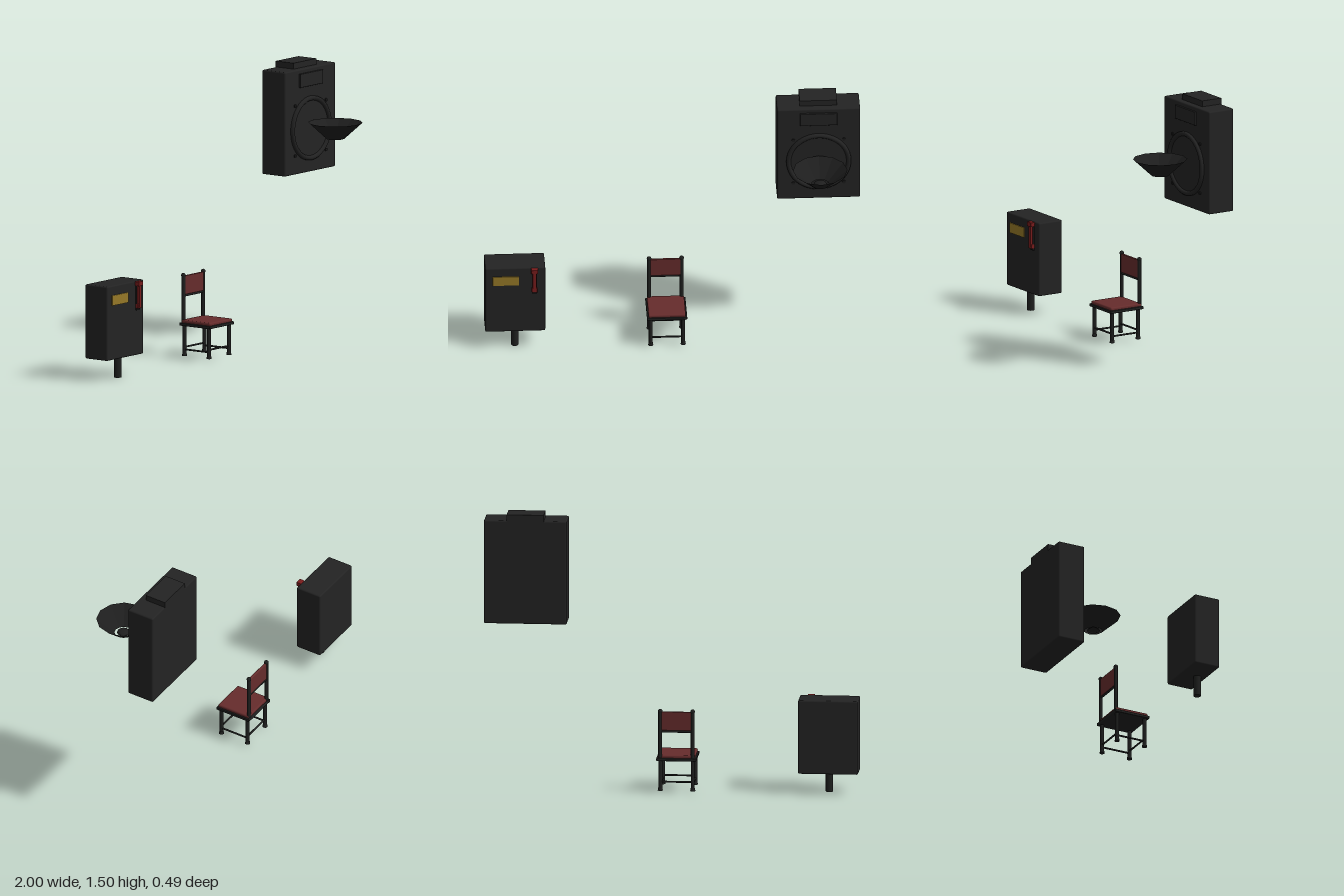
import * as THREE from 'three';
import { RoundedBoxGeometry } from 'three/addons/geometries/RoundedBoxGeometry.js';

const mat = (name, color, extra = {}) => new THREE.MeshStandardMaterial({ name, color, ...extra });

export function createModel() {
  const black = mat('black casing', 0x232323);
  const dark = mat('dark trim', 0x1b1b1b);
  const coneBlack = mat('cone black', 0x1e1e1e, { side: THREE.DoubleSide, flatShading: true });
  const wood = mat('dark wood', 0x1f201f);
  const leather = mat('red leather', 0x662c2c);
  const red = mat('handle red', 0x7a1d1d);
  const brass = mat('brass yellow', 0x957827);

  const root = new THREE.Group();
  const group = (name) => {
    const g = new THREE.Group();
    g.name = name;
    root.add(g);
    return g;
  };
  const add = (parent, name, geometry, material, x = 0, y = 0, z = 0) => {
    const m = new THREE.Mesh(geometry, material);
    m.name = name;
    m.position.set(x, y, z);
    parent.add(m);
    return m;
  };
  // Box given by its extents; an optional radius rounds the edges
  const box = (parent, name, material, [x0, x1], [y0, y1], [z0, z1], r = 0) => {
    const s = [x1 - x0, y1 - y0, z1 - z0];
    const geo = r ? new RoundedBoxGeometry(...s, 2, r) : new THREE.BoxGeometry(...s);
    return add(parent, name, geo, material, (x0 + x1) / 2, (y0 + y1) / 2, (z0 + z1) / 2);
  };
  // Round bar between two points
  const bar = (parent, name, material, a, b, r) => {
    const p = new THREE.Vector3(...a), q = new THREE.Vector3(...b);
    const d = q.clone().sub(p);
    const m = add(parent, name, new THREE.CylinderGeometry(r, r, d.length(), 12), material);
    m.position.copy(p).add(q).multiplyScalar(0.5);
    m.quaternion.setFromUnitVectors(new THREE.Vector3(0, 1, 0), d.normalize());
    return m;
  };

  // Switch box on a short post
  const sw = group('switchBox');
  box(sw, 'switchCasing', black, [-1, -0.68], [0.112, 0.512], [-0.213, -0.065], 0.008);
  bar(sw, 'post', wood, [-0.84, 0, -0.117], [-0.84, 0.115, -0.117], 0.02);
  box(sw, 'namePlate', brass, [-0.96, -0.82], [0.406, 0.46], [-0.066, -0.06]);
  box(sw, 'handleBase', dark, [-0.752, -0.724], [0.355, 0.5], [-0.066, -0.057]);
  box(sw, 'handleLever', red, [-0.748, -0.728], [0.375, 0.5], [-0.058, -0.043]);
  box(sw, 'handleGrip', red, [-0.757, -0.719], [0.486, 0.511], [-0.066, -0.038], 0.004);
  box(sw, 'handlePivot', red, [-0.753, -0.723], [0.365, 0.39], [-0.066, -0.045], 0.004);

  // Chair
  const chair = group('chair');
  const xs = [-0.12, 0.053], zs = [-0.057, -0.221], cx = -0.033;
  box(chair, 'seatFrame', wood, [-0.14, 0.074], [0.174, 0.19], [-0.243, -0.036], 0.004);
  box(chair, 'seatCushion', leather, [-0.132, 0.066], [0.185, 0.206], [-0.235, -0.042], 0.008);
  for (const x of xs) {
    for (const z of zs) {
      bar(chair, 'leg', wood, [x, 0.012, z], [x, 0.18, z], 0.0105);
      add(chair, 'foot', new THREE.CylinderGeometry(0.011, 0.014, 0.016, 12), wood, x, 0.019, z);
    }
    bar(chair, 'backPost', wood, [x, 0.18, -0.229], [x, 0.447, -0.229], 0.0105);
    add(chair, 'postCap', new THREE.SphereGeometry(0.0125, 12, 8), wood, x, 0.444, -0.229);
    bar(chair, 'sideStretcher', wood, [x, 0.046, zs[0]], [x, 0.046, zs[1]], 0.005);
  }
  for (const z of zs) bar(chair, 'crossStretcher', wood, [xs[0], 0.059, z], [xs[1], 0.059, z], 0.005);
  bar(chair, 'backRail', wood, [xs[0], 0.334, -0.229], [xs[1], 0.334, -0.229], 0.006);
  box(chair, 'backPanel', leather, [cx - 0.083, cx + 0.083], [0.34, 0.442], [-0.235, -0.221], 0.004);

  // Loudspeaker cabinet
  const sp = group('speaker');
  const sx = 0.774, sy = 1.138;
  box(sp, 'cabinet', black, [0.553, 0.995], [0.902, 1.463], [-0.22, -0.064], 0.008);
  box(sp, 'topBlock', black, [0.675, 0.873], [1.455, 1.495], [-0.22, -0.1]);
  box(sp, 'frontPanel', black, [0.675, 0.873], [1.366, 1.44], [-0.07, -0.053], 0.003);

  // Raised ring around the driver opening
  const profile = [[0.146, 0], [0.15, 0.012], [0.156, 0.018], [0.166, 0.018], [0.172, 0.012], [0.173, 0]];
  const ring = new THREE.LatheGeometry(profile.map(([r, h]) => new THREE.Vector2(r, h)).reverse(), 40);
  ring.rotateX(Math.PI / 2);
  const ringMesh = add(sp, 'driverRing', ring, mat('ring black', 0x222222, { side: THREE.DoubleSide }), sx, sy, -0.065);
  ringMesh.renderOrder = 0;
  const disc = new THREE.CylinderGeometry(0.15, 0.15, 0.006, 40).rotateX(Math.PI / 2);
  add(sp, 'driverBacking', disc, black, sx, sy, -0.063);

  // Screws at the four diagonals
  for (let i = 0; i < 4; i++) {
    const a = Math.PI / 4 + (i * Math.PI) / 2;
    const screw = new THREE.CylinderGeometry(0.009, 0.009, 0.008, 8).rotateX(Math.PI / 2);
    add(sp, 'screw', screw, dark, sx + 0.19 * Math.cos(a), sy + 0.19 * Math.sin(a), -0.062);
  }

  // Open speaker cone lying in front of the cabinet, with a loose dust cap
  const cone = new THREE.CylinderGeometry(0.145, 0.048, 0.088, 12, 1, true);
  add(sp, 'speakerCone', cone, coneBlack, sx, 1.14, 0.103);
  const cap = new THREE.SphereGeometry(0.035, 12, 4, 0, Math.PI * 2, 0, Math.PI / 2).scale(1, 0.45, 1);
  add(sp, 'dustCap', cap, coneBlack, sx, 1.097, 0.103);

  return root;
}
